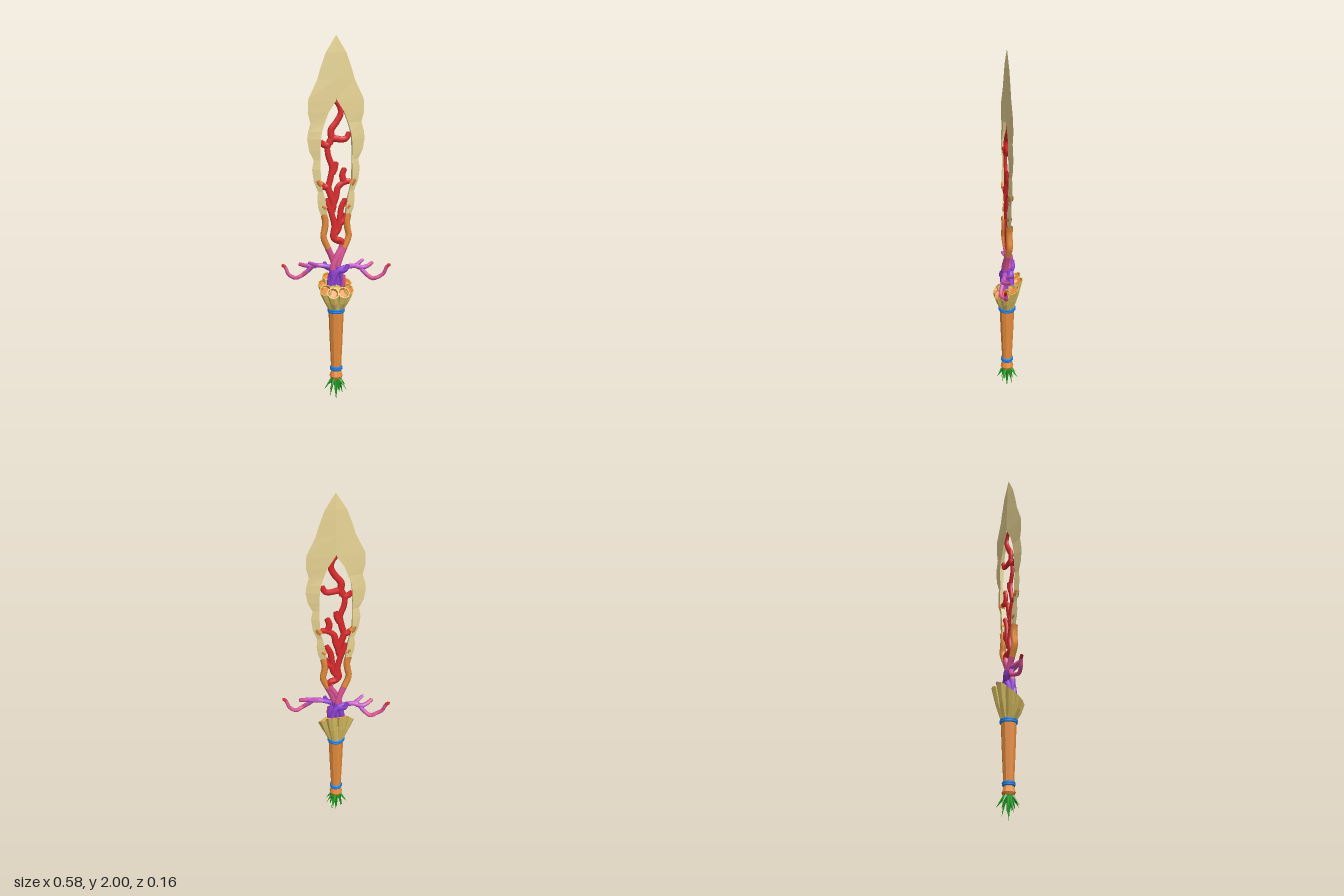
import * as THREE from 'three';

const V = (p) => new THREE.Vector3(...p);
const mat = (name, color) => Object.assign(new THREE.MeshStandardMaterial({ color }), { name });

// Triangles from quads of points, with flat normals
function quads(list) {
  const pos = [];
  for (const [a, b, c, d] of list) for (const p of [a, b, c, a, c, d]) pos.push(p.x, p.y, p.z);
  const g = new THREE.BufferGeometry();
  g.setAttribute('position', new THREE.Float32BufferAttribute(pos, 3));
  g.computeVertexNormals();
  return g;
}

// Rings [centre, radius, axis] joined into a surface
function loft(sections, sides) {
  const rings = sections.map(([c, r, n]) => {
    const q = new THREE.Quaternion().setFromUnitVectors(new THREE.Vector3(0, 1, 0), n);
    return Array.from({ length: sides }, (_, k) => {
      const a = (k / sides) * Math.PI * 2;
      return new THREE.Vector3(Math.sin(a) * r, 0, Math.cos(a) * r).applyQuaternion(q).add(c);
    });
  });
  const list = [];
  for (let i = 0; i + 1 < rings.length; i++)
    for (let k = 0; k < sides; k++) {
      const m = (k + 1) % sides;
      list.push([rings[i][k], rings[i][m], rings[i + 1][m], rings[i + 1][k]]);
    }
  return quads(list);
}

// Tapered coral branch with closed ends; materials follow its length
function branchGeometry(points, r0, r1, colours, stops) {
  const n = (points.length - 1) * 6, sides = 7;
  const curve = new THREE.CatmullRomCurve3(points.map(V));
  const g = new THREE.TubeGeometry(curve, n, 1, sides);
  const p = g.attributes.position;
  for (let i = 0; i <= n; i++) {
    const c = curve.getPointAt(i / n);
    const r = i === 0 || i === n ? 0.0005 : THREE.MathUtils.lerp(r0, r1, i / n);
    for (let k = 0; k <= sides; k++) {
      const j = i * (sides + 1) + k;
      const v = new THREE.Vector3().fromBufferAttribute(p, j).sub(c).multiplyScalar(r).add(c);
      p.setXYZ(j, v.x, v.y, v.z);
    }
  }
  const ends = [...stops, 1].map((s) => Math.round(s * n));
  colours.forEach((_, i) => {
    const a = i ? ends[i - 1] : 0;
    g.addGroup(a * sides * 6, (ends[i] - a) * sides * 6, i);
  });
  return g;
}

export function createModel() {
  const root = new THREE.Group();
  root.name = 'coralSword';
  const shell = mat('blade cream', 0xead695), gold = mat('cup gold', 0xdfc465),
    orange = mat('carrot orange', 0xf0923f), red = mat('coral red', 0xdb2a2c),
    pink = mat('coral pink', 0xdd5596), orchid = mat('coral orchid', 0xc656c6),
    purple = mat('coral purple', 0x9344d8), blue = mat('band blue', 0x1f86ee),
    green = mat('leaf green', 0x25a527), darkGreen = mat('leaf dark green', 0x1a8a1e);

  const add = (name, geo, material, parent = root) => {
    const m = new THREE.Mesh(geo, material);
    m.name = name;
    parent.add(m);
    return m;
  };
  const branch = (name, pts, r0, r1, cols, stops = [], parent = root) =>
    add(name, branchGeometry(pts, r0, r1, cols, stops), cols, parent);

  // Blade: rows of [y, outer x, inner x, half thickness]
  const rows = [
    [2, 0, 0, 0], [1.91, 0.056, 0, 0.007], [1.825, 0.086, 0, 0.01], [1.77, 0.102, 0, 0.012],
    [1.675, 0.148, 0, 0.014], [1.66, 0.151, 0.004, 0.014], [1.6, 0.153, 0.043, 0.011],
    [1.545, 0.139, 0.064, 0.009], [1.5, 0.152, 0.078, 0.011], [1.46, 0.157, 0.085, 0.012],
    [1.4, 0.147, 0.087, 0.01], [1.35, 0.122, 0.086, 0.008], [1.3, 0.131, 0.087, 0.011],
    [1.235, 0.122, 0.086, 0.012], [1.18, 0.1, 0.072, 0.008], [1.13, 0.103, 0.06, 0.012],
    [1.09, 0.098, 0.055, 0.013], [1.03, 0.076, 0.05, 0.01]];
  const faces = [];
  for (let i = 0; i + 1 < rows.length; i++) {
    const [O, F, B] = [0, 1, 2].map((k) => [rows[i], rows[i + 1]].map(([y, xo, xi, t]) =>
      new THREE.Vector3(k ? xi : xo, y, k === 0 ? 0 : k === 1 ? t : -t)));
    faces.push([O[0], F[0], F[1], O[1]], [B[0], O[0], O[1], B[1]]);
    if (rows[i + 1][2] > 0) faces.push([F[0], B[0], B[1], F[1]]);
  }
  const bladeGeo = quads(faces);
  for (const [side, turn] of [['left', 0], ['right', Math.PI]]) {
    const half = new THREE.Group();
    half.name = side + 'BladeHalf';
    half.rotation.y = turn;
    root.add(half);
    add('bladeEdge', bladeGeo, shell, half);
    // Twisting frame under the blade, turning from orange to pink and purple
    branch('bladeRoot', [[0.07, 1.06, 0], [0.061, 1.02, 0], [0.063, 0.98, 0], [0.071, 0.935, 0],
      [0.048, 0.875, 0.004], [0.024, 0.82, 0.008], [0.004, 0.75, 0.01], [0.01, 0.66, 0.01]],
      0.019, 0.015, [orange, pink, purple], [0.48, 0.74], half);
    // Orange tips set into the inner edge of the blade
    branch('bladeBud', [[0.078, 1.215, 0], [0.09, 1.226, 0], [0.1, 1.245, 0]], 0.017, 0.013, [orange], [], half);
    branch('lowerBud', [[0.056, 1.085, 0], [0.066, 1.097, 0], [0.078, 1.103, 0]], 0.014, 0.012, [orange], [], half);

    // Guard coral with its side twigs
    branch('guardBranch', [[-0.03, 0.67, 0.018], [0.0, 0.74, 0.022], [0.055, 0.765, 0.024],
      [0.115, 0.767, 0.04], [0.145, 0.735, 0.058], [0.18, 0.706, 0.07], [0.215, 0.702, 0.052],
      [0.25, 0.722, 0.056], [0.268, 0.762, 0.064], [0.288, 0.778, 0.068]],
      0.016, 0.009, [purple, orchid, pink, red], [0.33, 0.57, 0.95], half);
    branch('guardTwig', [[0.1, 0.766, 0.035], [0.14, 0.765, 0.052], [0.165, 0.77, 0.045], [0.2, 0.785, 0.027]],
      0.014, 0.01, [orchid, pink], [0.6], half);
    branch('guardSpur', [[0.09, 0.765, 0.032], [0.125, 0.782, 0.015], [0.155, 0.797, 0]],
      0.012, 0.008, [orchid], [], half);
    branch('guardBud', [[0.01, 0.745, 0.022], [0.04, 0.752, 0.04], [0.058, 0.785, 0.042]],
      0.015, 0.011, [purple], [], half);
    branch('guardStem', [[0.03, 0.65, 0.012], [0.026, 0.71, 0.016], [0.0, 0.765, 0.02]], 0.018, 0.014, [purple], [], half);
  }
  branch('pinkBud', [[0.03, 0.65, 0.02], [0.036, 0.69, 0.026], [0.034, 0.725, 0.026]], 0.013, 0.011, [pink]);

  // Red coral growing through the opening of the blade
  branch('coralStem', [[-0.015, 0.66, 0.01], [-0.02, 0.76, 0.01], [0.002, 0.82, 0.006], [0.03, 0.87, 0],
    [0.032, 0.905, 0], [-0.005, 0.915, 0]], 0.019, 0.015, [purple, pink, red], [0.3, 0.8]);
  const corals = [
    [[0.03, 0.9], [-0.012, 0.925], [-0.008, 0.99], [-0.022, 1.05], [-0.04, 1.1], [-0.055, 1.145]],
    [[-0.012, 0.94], [0.012, 0.97], [0.022, 1.03], [0.03, 1.09], [0.055, 1.14]],
    [[0.016, 1.0], [0.045, 1.02], [0.06, 1.06]],
    [[-0.025, 1.06], [-0.015, 1.11], [-0.03, 1.16], [-0.042, 1.2], [-0.03, 1.25], [-0.022, 1.31],
      [-0.042, 1.37], [-0.045, 1.42], [-0.02, 1.455]],
    [[-0.04, 1.205], [-0.065, 1.205], [-0.084, 1.225]],
    [[-0.025, 1.27], [-0.008, 1.3], [0.0, 1.34]],
    [[-0.015, 1.11], [0.0, 1.15], [0.012, 1.2], [0.045, 1.225], [0.085, 1.232]],
    [[0.045, 1.225], [0.035, 1.265], [0.05, 1.305]],
    [[-0.04, 1.425], [-0.065, 1.43], [-0.088, 1.45]],
    [[-0.04, 1.43], [-0.022, 1.46], [0.03, 1.455], [0.055, 1.46], [0.075, 1.495]],
    [[-0.02, 1.45], [-0.027, 1.505], [0.004, 1.55], [0.026, 1.595], [0.018, 1.635], [-0.004, 1.662]]];
  // The branches are flattened to the thickness of the blade
  corals.forEach((pts, i) => {
    branch('coralBranch' + (i + 1), pts.map(([x, y]) => [x, y, 0]), 0.02, 0.015, [red]).scale.z = 0.6;
  });

  // Cup of flared cells: rim centre and the direction each opening faces
  const up = new THREE.Vector3(0, 1, 0);
  const cells = [
    [[0.031, 0.698, -0.053], [0, 0.86, 0.5]], [[0.064, 0.668, -0.022], [0.25, 0.8, 0.5]],
    [[0.066, 0.642, 0.024], [0.42, 0.62, 0.62]], [[0.03, 0.63, 0.052], [0.1, 0.6, 0.8]]];
  for (const s of [1, -1])
    for (const [c, d] of cells) {
      const top = new THREE.Vector3(c[0] * s, c[1], c[2]);
      const axis = new THREE.Vector3(d[0] * s, d[1], d[2]).normalize();
      const low = new THREE.Vector3(top.x * 0.35, 0.525, top.z * 0.35);
      const mid = new THREE.Vector3(top.x * 0.74, 0.525 + (top.y - 0.525) * 0.5, top.z * 0.74);
      const floor = top.clone().addScaledVector(axis, -0.012);
      const half = axis.clone().add(up).normalize();
      add('cupCell', loft([[low, 0.02, up], [mid, 0.025, half], [top, 0.034, axis], [top, 0.029, axis]], 8), gold);
      add('cellLining', loft([[top, 0.029, axis], [floor, 0.022, axis], [floor, 0, axis]], 8), orange);
    }
  add('cupCore', loft([[V([0, 0.52, 0]), 0.04, up], [V([0, 0.59, 0]), 0.05, up],
    [V([0, 0.635, -0.01]), 0.045, up], [V([0, 0.65, -0.01]), 0, up]], 10), gold);

  // Carrot handle with a swollen crown at its lower end
  const grip = new THREE.LatheGeometry([[0, 0.125], [0.03, 0.128], [0.037, 0.142], [0.027, 0.172],
    [0.028, 0.19], [0.035, 0.34], [0.042, 0.52], [0, 0.525]].map(([r, y]) => new THREE.Vector2(r, y)), 10).toNonIndexed();
  grip.computeVertexNormals();
  add('carrotHandle', grip, orange);

  // Blue bands
  for (const [y, r] of [[0.52, 0.041], [0.187, 0.028]])
    for (const d of [-0.005, 0.005]) {
      const g = new THREE.TorusGeometry(r, 0.0075, 6, 16).rotateX(Math.PI / 2);
      add('band', g, blue).position.y = y + d;
    }

  // Leaf tuft hanging from the crown
  const leaf = (angle, tilt, length, r, material) => {
    const g = new THREE.ConeGeometry(r, length, 4).toNonIndexed();
    g.computeVertexNormals();
    g.translate(0, length / 2, 0).rotateX(Math.PI - tilt).rotateY(angle);
    const m = add('leaf', g, material);
    m.position.set(Math.sin(angle) * 0.014 * (tilt > 0), 0.135, Math.cos(angle) * 0.014 * (tilt > 0));
  };
  leaf(0, 0, 0.135, 0.017, green);
  for (let i = 0; i < 7; i++) {
    const a = (i / 7) * Math.PI * 2;
    leaf(a, 0.62, 0.078 + 0.012 * (i % 2), 0.011, i % 2 ? green : darkGreen);
    leaf(a + 0.45, 0.22, 0.085 + 0.015 * (i % 3), 0.012, i % 2 ? darkGreen : green);
  }
  return root;
}
